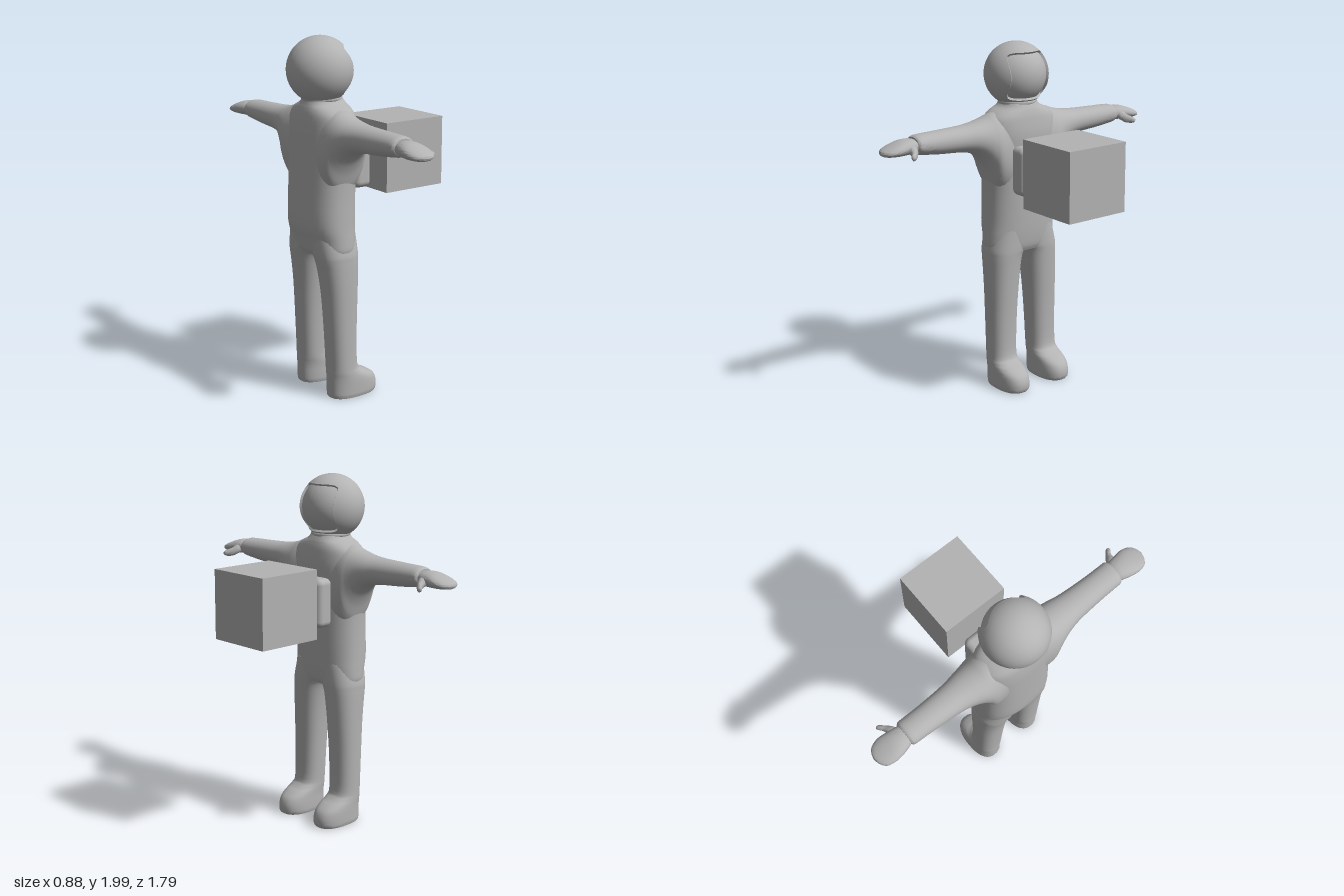
import * as THREE from 'three';
import { toCreasedNormals } from 'three/addons/utils/BufferGeometryUtils.js';
import { RoundedBoxGeometry } from 'three/addons/geometries/RoundedBoxGeometry.js';

const suitGrey = new THREE.MeshStandardMaterial({ color: 0xb3b3b3 });
suitGrey.name = 'suitGrey';

// Closed skin over rings of points; the faces are turned outward by signed volume
function skin(rings, crease = 0.9) {
  const n = rings[0].length, pos = [], index = [];
  rings.forEach(r => r.forEach(p => pos.push(p.x, p.y, p.z)));
  for (let i = 0; i < rings.length - 1; i++) {
    for (let j = 0; j < n; j++) {
      const a = i * n + j, b = i * n + (j + 1) % n;
      index.push(a, b, a + n, b, b + n, a + n);
    }
  }
  const mid = list => list.reduce((s, p) => s.add(p), new THREE.Vector3()).divideScalar(n);
  const c0 = pos.length / 3, last = (rings.length - 1) * n;
  [rings[0], rings[rings.length - 1]].forEach(r => pos.push(...mid(r).toArray()));
  for (let j = 0; j < n; j++) {
    const k = (j + 1) % n;
    index.push(c0, k, j, c0 + 1, last + j, last + k);
  }
  const v = i => new THREE.Vector3().fromArray(pos, i * 3);
  let volume = 0;
  for (let i = 0; i < index.length; i += 3) {
    volume += v(index[i]).dot(v(index[i + 1]).cross(v(index[i + 2])));
  }
  if (volume < 0) index.reverse();
  const g = new THREE.BufferGeometry();
  g.setAttribute('position', new THREE.Float32BufferAttribute(pos, 3));
  g.setIndex(index);
  return toCreasedNormals(g, crease);
}

// Smooth loft of rounded sections along an axis.
// Row: [position, a min, a max, b min, b max]; a, b are the other axes in xyz order
function loft(axis, rows, { power = 2.3, side = 1, steps = 4, sides = 40 } = {}) {
  const curve = new THREE.CubicInterpolant(rows.map((_, i) => i), rows.flat(), 5, new Float32Array(5));
  const round = t => Math.sign(t) * Math.abs(t) ** (2 / power);
  const rings = [];
  for (let i = 0; i <= (rows.length - 1) * steps; i++) {
    const [p, a0, a1, b0, b1] = Array.from(curve.evaluate(i / steps));
    rings.push(Array.from({ length: sides }, (_, j) => {
      const t = j / sides * Math.PI * 2;
      const a = (a0 + a1) / 2 + (a1 - a0) / 2 * round(Math.cos(t));
      const b = (b0 + b1) / 2 + (b1 - b0) / 2 * round(Math.sin(t));
      const q = { x: [p, a, b], y: [a, p, b], z: [a, b, p] }[axis];
      return new THREE.Vector3(q[0], q[1], q[2] * side);
    }));
  }
  return skin(rings);
}

// Round helmet facing +x, with a recessed visor inside a rounded square opening
function helmet() {
  const outer = 0.182, inner = 0.168, sides = 64, rows = [];
  for (let i = 1; i <= 10; i++) rows.push([inner, i / 10, 0]);
  for (let i = 0; i <= 28; i++) rows.push([outer, 1, Math.min(i / 28, 0.995)]);
  const rings = rows.map(([r, front, back]) => Array.from({ length: sides }, (_, j) => {
    const t = j / sides * Math.PI * 2, c = Math.cos(t), s = Math.sin(t);
    const open = 0.132 / (Math.abs(c) ** 6 + Math.abs(s) ** 6) ** (1 / 6);
    const edge = Math.asin(open / outer);
    const angle = edge * front + (Math.PI - edge) * back;
    return new THREE.Vector3(
      -0.26 + r * Math.cos(angle),
      1.818 + r * Math.sin(angle) * s,
      r * Math.sin(angle) * c);
  }));
  return skin(rings, 0.6);
}

const torsoRows = [
  [0.82, -0.355, -0.14, -0.2, 0.2],
  [0.85, -0.372, -0.128, -0.224, 0.224],
  [0.91, -0.387, -0.12, -0.224, 0.224],
  [1.0, -0.408, -0.115, -0.22, 0.22],
  [1.2, -0.403, -0.11, -0.216, 0.216],
  [1.4, -0.395, -0.105, -0.225, 0.225],
  [1.5, -0.39, -0.102, -0.228, 0.228],
  [1.58, -0.38, -0.112, -0.215, 0.215],
  [1.62, -0.37, -0.122, -0.175, 0.175],
  [1.65, -0.358, -0.135, -0.115, 0.115],
  [1.69, -0.345, -0.16, -0.095, 0.095],
];
// Leg and boot in one piece
const legRows = [
  [0.005, -0.312, -0.025, 0.062, 0.232],
  [0.02, -0.316, -0.016, 0.058, 0.236],
  [0.06, -0.317, -0.015, 0.058, 0.236],
  [0.1, -0.317, -0.033, 0.06, 0.235],
  [0.13, -0.317, -0.075, 0.061, 0.233],
  [0.155, -0.317, -0.122, 0.062, 0.231],
  [0.2, -0.317, -0.15, 0.062, 0.229],
  [0.4, -0.325, -0.151, 0.055, 0.229],
  [0.6, -0.336, -0.142, 0.042, 0.23],
  [0.74, -0.353, -0.134, 0.026, 0.23],
  [0.8, -0.364, -0.13, 0.012, 0.229],
  [0.84, -0.37, -0.128, -0.01, 0.226],
  [0.95, -0.38, -0.128, -0.03, 0.2],
];
const armRows = [
  [0.08, -0.375, -0.12, 1.12, 1.64],
  [0.19, -0.385, -0.112, 1.18, 1.618],
  [0.235, -0.376, -0.126, 1.295, 1.602],
  [0.27, -0.365, -0.138, 1.362, 1.592],
  [0.32, -0.35, -0.15, 1.407, 1.582],
  [0.4, -0.335, -0.164, 1.429, 1.574],
  [0.55, -0.324, -0.173, 1.441, 1.569],
  [0.66, -0.321, -0.175, 1.454, 1.566],
  [0.69, -0.319, -0.176, 1.46, 1.562],
  [0.702, -0.31, -0.185, 1.468, 1.555],
];
const handRows = [
  [0.69, -0.3, -0.195, 1.475, 1.54],
  [0.72, -0.313, -0.187, 1.468, 1.55],
  [0.77, -0.325, -0.18, 1.466, 1.548],
  [0.82, -0.328, -0.175, 1.467, 1.533],
  [0.865, -0.315, -0.188, 1.47, 1.515],
  [0.888, -0.285, -0.215, 1.476, 1.503],
  [0.897, -0.255, -0.245, 1.487, 1.493],
];
const thumbRows = [
  [-0.23, 1.485, 1.53, 0.71, 0.78],
  [-0.185, 1.47, 1.522, 0.712, 0.766],
  [-0.155, 1.458, 1.505, 0.73, 0.77],
  [-0.13, 1.457, 1.493, 0.753, 0.787],
  [-0.118, 1.463, 1.485, 0.765, 0.787],
  [-0.113, 1.471, 1.476, 0.774, 0.779],
];

export function createModel() {
  const model = new THREE.Group();
  model.name = 'spacesuitAndCube';
  const add = (name, geometry, x = 0, y = 0, z = 0) => {
    const mesh = new THREE.Mesh(geometry, suitGrey);
    mesh.name = name;
    mesh.position.set(x, y, z);
    model.add(mesh);
    return mesh;
  };

  // Body and head
  add('torso', loft('y', torsoRows, { power: 2.4 }));
  add('helmet', helmet());
  add('collar', new THREE.TorusGeometry(0.095, 0.016, 12, 48).rotateX(Math.PI / 2), -0.25, 1.668, 0);
  add('chestPack', new RoundedBoxGeometry(0.11, 0.275, 0.29, 5, 0.035), -0.075, 1.308, 0);

  // Limbs on both sides
  for (const side of [1, -1]) {
    const label = side > 0 ? 'near' : 'far';
    add(label + 'Leg', loft('y', legRows, { side, power: 2.4 }));
    add(label + 'Arm', loft('z', armRows, { side, power: 2.1 }));
    add(label + 'Hand', loft('z', handRows, { side, power: 2.1 }));
    add(label + 'Thumb', loft('x', thumbRows, { side, power: 2, sides: 20 }));
  }

  // Separate cube floating before the chest
  add('cube', new THREE.BoxGeometry(0.39, 0.387, 0.388), 0.239, 1.328, -0.002);
  return model;
}
